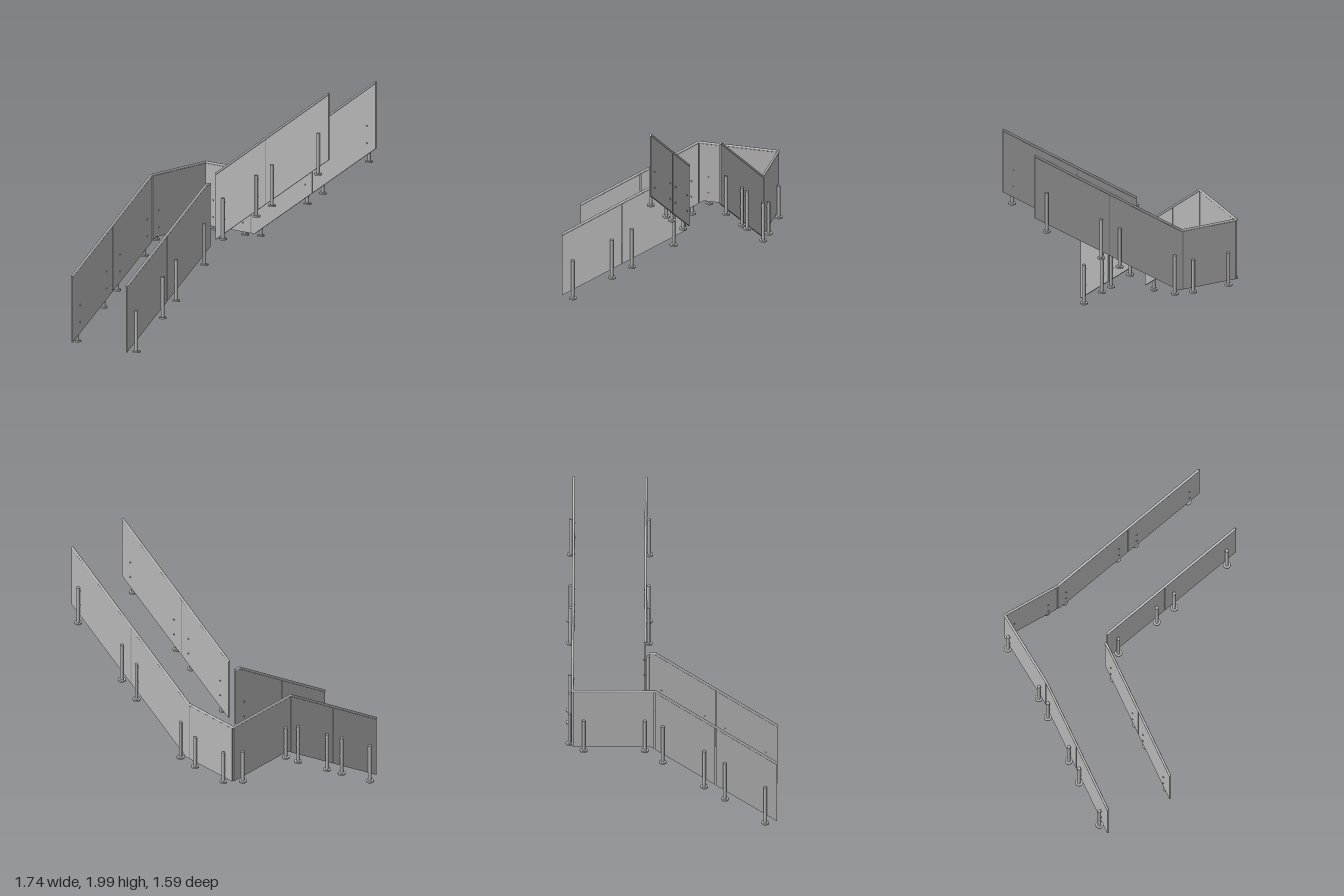
import * as THREE from 'three';

const glass = new THREE.MeshStandardMaterial({ color: 0xb6b6b6 });
glass.name = 'pale grey glass';
const steel = new THREE.MeshStandardMaterial({ color: 0xb2b2b2 });
steel.name = 'grey steel';
const seal = new THREE.MeshStandardMaterial({ color: 0x9a9a9a });
seal.name = 'darker grey seal';

const GLASS_T = 0.01, RAIL_R = 0.0095, POST_R = 0.013, POST_GAP = 0.022;

// Height lines of the two flights; both meet the level landing.
const upper = {
  alongX: true, bends: [-0.36, -0.33],
  top: (u) => 1.145 + 0.69 * Math.max(0, u + 0.36),
  bottom: (u) => 0.665 + 0.685 * Math.max(0, u + 0.33),
};
const lower = {
  alongX: false, bends: [-0.12, -0.16],
  top: (u) => 1.145 - 0.69 * Math.max(0, u + 0.12),
  bottom: (u) => 0.665 - 0.685 * Math.max(0, u + 0.16),
};

function add(group, name, geometry, material) {
  const mesh = new THREE.Mesh(geometry, material);
  mesh.name = name;
  group.add(mesh);
  return mesh;
}

// Point at distance u along a run standing on the line at offset w.
const at = (run, u, y, w) =>
  run.alongX ? new THREE.Vector3(u, y, w) : new THREE.Vector3(w, y, u);

// Upright sheet following the run's height lines from u0 to u1.
function sheet(group, name, run, w, u0, u1, material, thick = GLASS_T) {
  const stops = (bend) => [u0, ...(bend > u0 && bend < u1 ? [bend] : []), u1];
  const pts = [
    ...stops(run.bends[1]).map((u) => new THREE.Vector2(u, run.bottom(u))),
    ...stops(run.bends[0]).reverse().map((u) => new THREE.Vector2(u, run.top(u))),
  ];
  const geo = new THREE.ExtrudeGeometry(new THREE.Shape(pts), { depth: thick, bevelEnabled: false });
  geo.translate(0, 0, -thick / 2);
  if (!run.alongX) geo.rotateY(-Math.PI / 2);
  const mesh = add(group, name, geo, material);
  mesh.position.copy(at(run, 0, 0, w));
}

// Round bar between two points.
function bar(group, name, a, b, r, sides = 16) {
  const dir = b.clone().sub(a);
  const mesh = add(group, name, new THREE.CylinderGeometry(r, r, dir.length(), sides), steel);
  mesh.position.copy(a).add(b).multiplyScalar(0.5);
  mesh.quaternion.setFromUnitVectors(new THREE.Vector3(0, 1, 0), dir.normalize());
}

// Handrail through a list of points, with round joints at the bends.
function handrail(group, pts) {
  for (let i = 0; i + 1 < pts.length; i++) {
    bar(group, 'handrail', pts[i], pts[i + 1], RAIL_R);
    if (i > 0) {
      add(group, 'handrailJoint', new THREE.SphereGeometry(RAIL_R, 16, 10), steel).position.copy(pts[i]);
    }
  }
}

// Post with floor flange and two glass clamps; side says which face it stands on.
function post(group, run, w, side, u, base, height) {
  const p = new THREE.Group();
  p.name = 'post';
  const c = w + side * POST_GAP;
  bar(p, 'postTube', at(run, u, base, c), at(run, u, base + height, c), POST_R, 20);
  bar(p, 'floorFlange', at(run, u, base, c), at(run, u, base + 0.012, c), 0.029, 24);
  for (const drop of [0.035, 0.165]) {
    const y = base + height - drop;
    bar(p, 'glassClamp', at(run, u, y, c), at(run, u, y, w - side * 0.012), 0.006, 12);
  }
  group.add(p);
}

export function createModel() {
  const model = new THREE.Group();
  model.name = 'stairBalustrade';
  const section = (name) => {
    const g = new THREE.Group();
    g.name = name;
    model.add(g);
    return g;
  };
  const zOut = -0.739, zIn = -0.199, xOut = -0.815, xIn = -0.278;
  const top = (run, u, w) => at(run, u, run.top(u), w);

  // Glass panels
  const panels = section('glassPanels');
  const layout = [
    [upper, zOut, [[-0.809, -0.374], [-0.36, 0.24], [0.25, 0.865]]],
    [upper, zIn, [[-0.247, 0.24], [0.25, 0.865]]],
    [lower, xOut, [[-0.733, -0.13], [-0.122, 0.325], [0.332, 0.79]]],
    [lower, xIn, [[-0.165, 0.325], [0.332, 0.79]]],
  ];
  for (const [run, w, spans] of layout) {
    for (const [u0, u1] of spans) sheet(panels, 'glassPanel', run, w, u0, u1, glass);
  }

  // Seals in the upper joints
  const seals = section('jointSeals');
  sheet(seals, 'jointSeal', upper, zOut, -0.374, -0.36, seal, 0.006);
  for (const w of [zOut, zIn]) sheet(seals, 'jointSeal', upper, w, 0.24, 0.25, seal, 0.006);

  // Handrails
  const rails = section('handrails');
  handrail(rails, [
    top(upper, 0.865, zOut), top(upper, -0.36, zOut), new THREE.Vector3(xOut, 1.145, zOut),
    top(lower, -0.12, xOut), top(lower, 0.79, xOut),
  ]);
  handrail(rails, [top(upper, -0.247, zIn), top(upper, 0.865, zIn)]);
  handrail(rails, [top(lower, -0.168, xIn), top(lower, -0.12, xIn), top(lower, 0.79, xIn)]);

  // Posts on the flights
  const posts = section('posts');
  const upperBase = (u) => 0.735 + 0.668 * (u + 0.16);
  const lowerBase = (u) => 0.005 + 0.69 * (0.702 - u);
  for (const u of [-0.29, 0.17, 0.322, 0.777]) post(posts, upper, zOut, -1, u, upperBase(u), 0.318);
  for (const u of [-0.16, 0.17, 0.322, 0.777]) post(posts, upper, zIn, 1, u, upperBase(u), 0.318);
  for (const u of [-0.065, 0.246, 0.4, 0.702]) post(posts, lower, xOut, -1, u, lowerBase(u), 0.318);
  for (const u of [-0.077, 0.246, 0.4, 0.702]) post(posts, lower, xIn, 1, u, lowerBase(u), 0.318);

  // Shorter posts around the landing
  for (const u of [-0.737, -0.443]) post(posts, upper, zOut, -1, u, 0.635, 0.265);
  for (const u of [-0.655, -0.198]) post(posts, lower, xOut, -1, u, 0.635, 0.265);

  // Rest the lowest flanges on the ground
  model.position.y = -0.005;
  return model;
}
